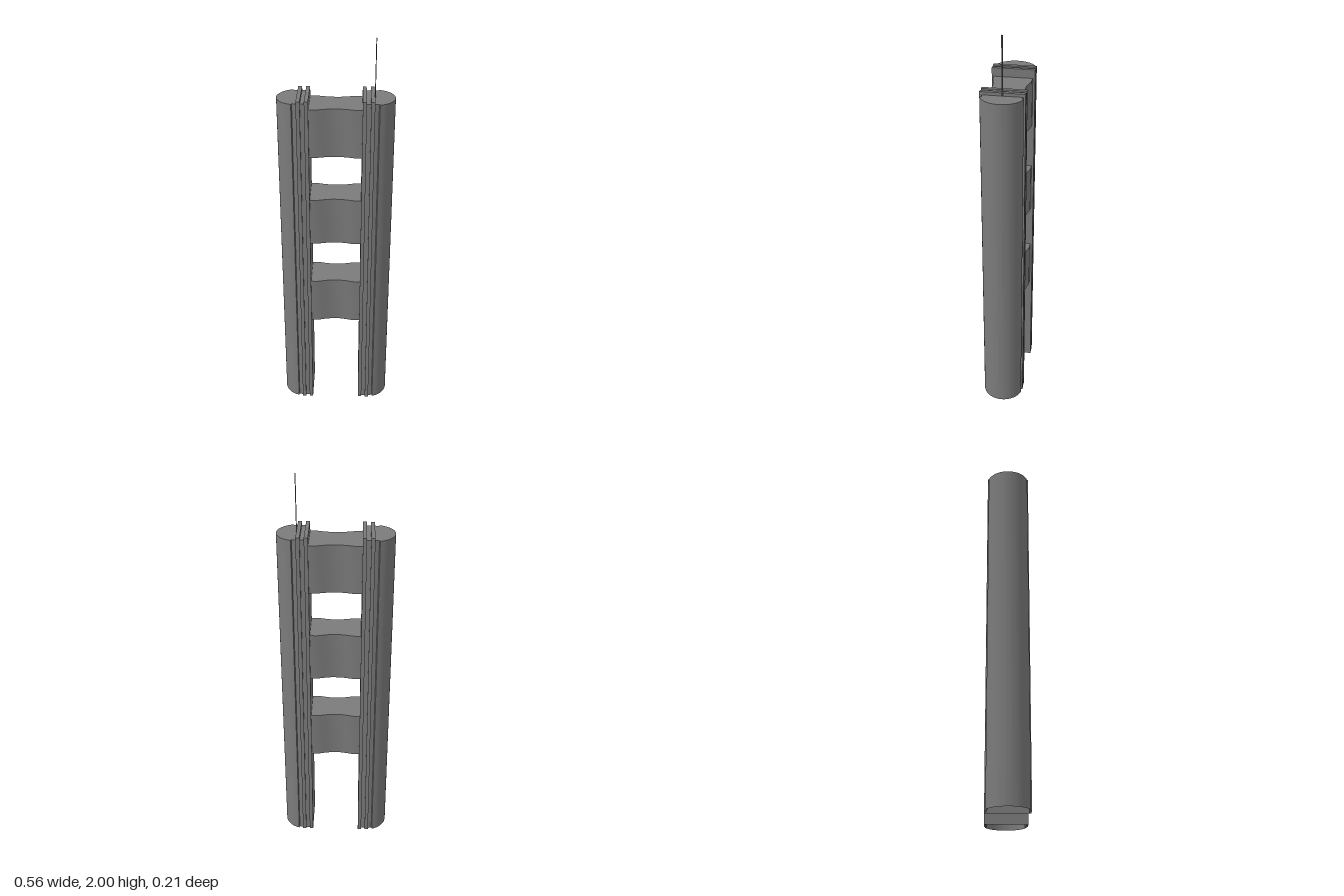
import * as THREE from 'three';
import { toCreasedNormals } from 'three/addons/utils/BufferGeometryUtils.js';

const darkGrey = new THREE.MeshStandardMaterial({ color: 0x7b7b7b, side: THREE.DoubleSide });

// Upright prism from a plan outline of [x, z] points; openBottom drops its lower cap
function prism(name, outline, y0, y1, openBottom = false) {
  const shape = new THREE.Shape(outline.map(([x, z]) => new THREE.Vector2(x, z)));
  let geo = new THREE.ExtrudeGeometry(shape, { depth: y1 - y0, bevelEnabled: false });
  geo.rotateX(-Math.PI / 2).translate(0, y0, 0);
  if (openBottom) {
    const pos = geo.attributes.position;
    const kept = [];
    for (let i = 0; i < pos.count; i += 3) {
      const isBottom = [0, 1, 2].every(k => pos.getY(i + k) < y0 + 1e-5);
      if (!isBottom) for (let k = 0; k < 3; k++) kept.push(pos.getX(i + k), pos.getY(i + k), pos.getZ(i + k));
    }
    geo = new THREE.BufferGeometry();
    geo.setAttribute('position', new THREE.Float32BufferAttribute(kept, 3));
  }
  const mesh = new THREE.Mesh(toCreasedNormals(geo, 0.5), darkGrey);
  mesh.name = name;
  return mesh;
}

// Adds the reflection across z = 0 to one side of an outline
const mirrorZ = pts => [...pts, ...pts.slice().reverse().map(([x, z]) => [x, -z])];

function createTower(side) {
  const tower = new THREE.Group();
  tower.name = side > 0 ? 'leftTower' : 'rightTower';
  const place = pts => mirrorZ(pts).map(([x, z]) => [x * side, z]);
  const flank = 0.094, proud = 0.105, fins = [[0.125, 0.1435], [0.163, 0.1815]];

  // Hollow shaft: two ribs, a notch, then the rounded outer side
  const half = [];
  for (const [a, b] of fins) half.push([a, flank], [a, proud], [b, proud], [b, flank]);
  half.shift();
  half.push([0.2, 0.09]);
  const steps = 16, start = 1.285;
  for (let i = 0; i < steps; i++) {
    const a = start * (1 - i / (steps - 0.5));
    half.push([0.1745 + 0.104 * Math.cos(a), 0.104 * Math.sin(a)]);
  }
  tower.add(prism('shaft', place(half), 0, 1.72, true));

  // Rib tops rising just above the roof
  for (const [a, b] of fins) {
    tower.add(prism('finTop', place([[a, proud], [b, proud]]), 1.72, 1.735, true));
  }
  return tower;
}

export function createModel() {
  const model = new THREE.Group();
  model.name = 'twinTowers';
  model.add(createTower(1), createTower(-1));

  // Waisted bridges linking the towers
  const waist = [[0.126, 0.094], [0.09, 0.094], [0.055, 0.085], [0.02, 0.079]];
  const edge = [...waist, ...waist.slice().reverse().map(([x, z]) => [-x, z])];
  for (const [y0, y1] of [[0.515, 0.757], [0.982, 1.226], [1.452, 1.692]]) {
    model.add(prism('bridge', mirrorZ(edge), y0, y1));
  }

  // Slender three-sided rooftop mast
  model.add(prism('mast', [[0.181, 0.004], [0.181, -0.004], [0.185, 0]], 1.72, 2));
  return model;
}
